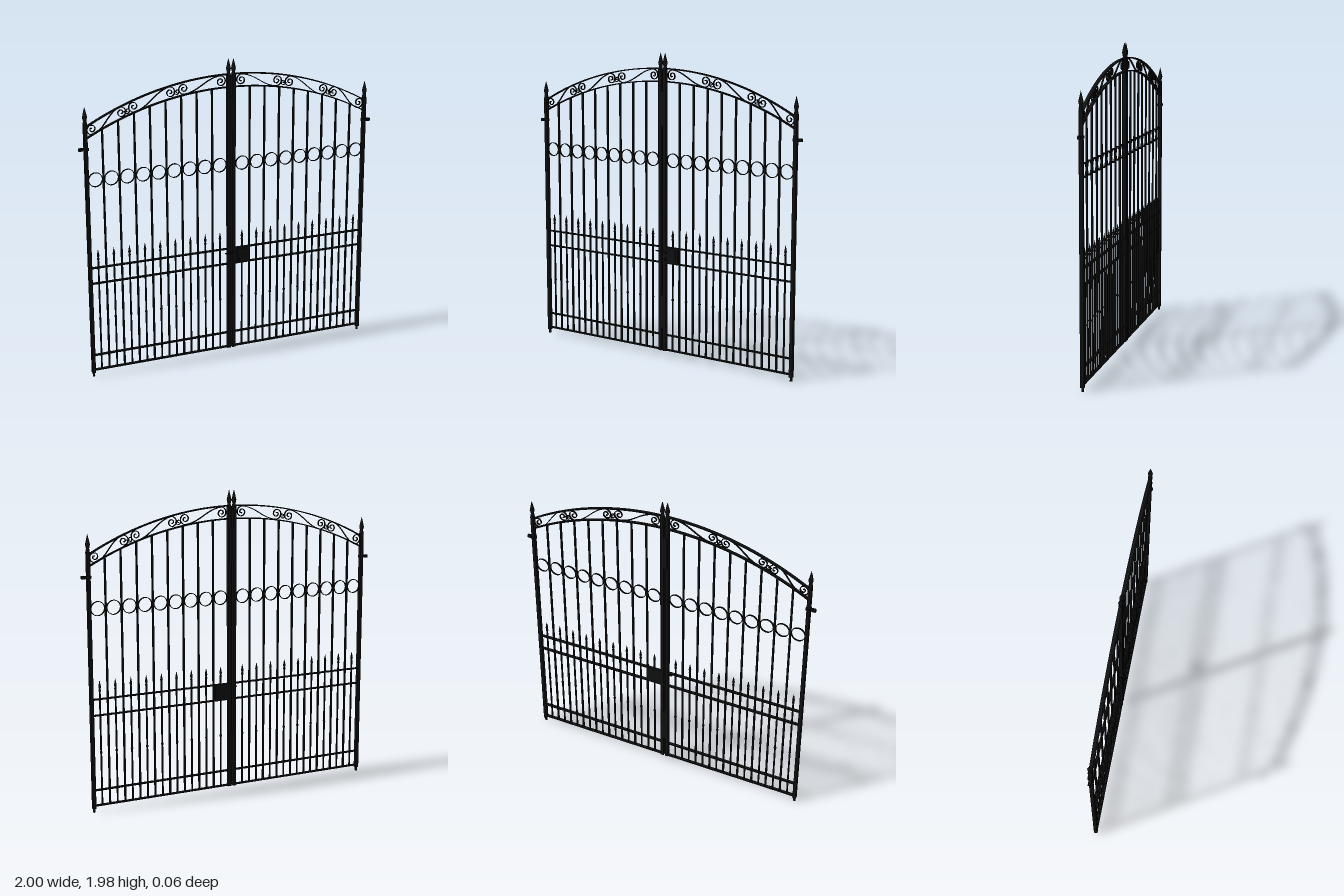
import * as THREE from 'three';

const iron = new THREE.MeshStandardMaterial({ color: 0x111111 });
iron.name = 'black iron';

const Z = -0.008; // plane of the gate leaves
const V = (x, y) => new THREE.Vector2(x, y);

function add(parent, name, geo, x = 0, y = 0, z = 0) {
  const mesh = new THREE.Mesh(geo, iron);
  mesh.name = name;
  mesh.position.set(x, y, z);
  parent.add(mesh);
  return mesh;
}

// Box given by its x and y extents
function bar(parent, name, x0, x1, y0, y1, depth, z = Z) {
  return add(parent, name, new THREE.BoxGeometry(x1 - x0, y1 - y0, depth), (x0 + x1) / 2, (y0 + y1) / 2, z);
}

// Flat strip of metal standing on edge along a path in the xy plane
function ribbon(path, thick, depth) {
  const left = [], right = [];
  path.forEach((p, i) => {
    const a = path[Math.max(i - 1, 0)], b = path[Math.min(i + 1, path.length - 1)];
    const d = b.clone().sub(a).normalize().multiplyScalar(thick / 2);
    left.push(V(p.x - d.y, p.y + d.x));
    right.push(V(p.x + d.y, p.y - d.x));
  });
  const geo = new THREE.ExtrudeGeometry(new THREE.Shape([...right, ...left.reverse()]), { depth, bevelEnabled: false });
  return geo.translate(0, 0, -depth / 2);
}

function ringGeometry(r, thick, depth) {
  const shape = new THREE.Shape().absarc(0, 0, r, 0, Math.PI * 2);
  shape.holes.push(new THREE.Path().absarc(0, 0, r - thick, 0, Math.PI * 2, true));
  return new THREE.ExtrudeGeometry(shape, { depth, bevelEnabled: false, curveSegments: 16 }).translate(0, 0, -depth / 2);
}

// Height of an arch at x
const arch = (top, radius) => x => top - radius + Math.sqrt(radius * radius - x * x);
const upperArch = arch(1.882, 1.945);
const lowerArch = arch(1.8, 2.02);
const midBand = x => (upperArch(x) + lowerArch(x)) / 2;

function archPath(f, x0, x1, n = 28) {
  return Array.from({ length: n + 1 }, (_, i) => {
    const x = x0 + (x1 - x0) * i / n;
    return V(x, f(x));
  });
}

// Spiral from its centre out to radius r, ending at angle endAngle
function spiral(cx, cy, r, endAngle, dir, turns = 1.6, n = 30) {
  return Array.from({ length: n + 1 }, (_, i) => {
    const t = i / n, a = endAngle - dir * turns * Math.PI * 2 * (1 - t);
    const rad = r * (0.15 + 0.85 * t);
    return V(cx + Math.cos(a) * rad, cy + Math.sin(a) * rad);
  });
}

// S-shaped scroll between two spiral eyes
function sScroll(xa, xb, r) {
  const a = V(xa, midBand(xa)), b = V(xb, midBand(xb));
  const tilt = Math.atan2(b.y - a.y, b.x - a.x);
  const start = spiral(a.x, a.y, r, tilt + Math.PI / 2, -1);
  const end = spiral(b.x, b.y, r, tilt - Math.PI / 2, -1).reverse();
  const p = start[start.length - 1], q = end[0], k = (xb - xa) * 0.4;
  const along = V(Math.cos(tilt) * k, Math.sin(tilt) * k);
  const link = new THREE.CubicBezierCurve(p, p.clone().add(along), q.clone().sub(along), q).getPoints(14);
  return [...start, ...link.slice(1, -1), ...end];
}

const spear = new THREE.LatheGeometry([
  V(0.005, 0), V(0.008, 0.006), V(0.008, 0.012), V(0.005, 0.018),
  V(0.009, 0.03), V(0.006, 0.046), V(0, 0.075)], 8);
const knot = new THREE.LatheGeometry([V(0.005, -0.01), V(0.0095, 0), V(0.005, 0.01)], 8);
const postFinial = new THREE.LatheGeometry([
  V(0.011, 0), V(0.013, 0.008), V(0.013, 0.018), V(0.01, 0.026),
  V(0.016, 0.05), V(0.009, 0.08), V(0, 0.115)], 8);
const ring = ringGeometry(0.046, 0.004, 0.011);

function createLeaf(name, s) {
  const leaf = new THREE.Group();
  leaf.name = name;
  const span = (label, a, b, y0, y1, depth, z) =>
    bar(leaf, label, Math.min(s * a, s * b), Math.max(s * a, s * b), y0, y1, depth, z);

  // Posts with pointed finials, bottom pivot and hinge pin
  span('outerPost', 0.944, 0.966, 0.025, 1.65, 0.024);
  add(leaf, 'outerPostFinial', postFinial, s * 0.955, 1.645, Z);
  add(leaf, 'pivot', new THREE.CylinderGeometry(0.008, 0.008, 0.03, 12), s * 0.955, 0.015, Z);
  span('innerPost', 0.006, 0.028, 0.035, 1.88, 0.024);
  add(leaf, 'innerPostFinial', postFinial, s * 0.017, 1.868, Z);
  const pin = add(leaf, 'hingePin', new THREE.CylinderGeometry(0.007, 0.007, 0.06, 12), s * 0.97, 1.497, Z);
  pin.rotation.z = Math.PI / 2;
  add(leaf, 'hingeCollar', new THREE.CylinderGeometry(0.02, 0.02, 0.014, 12), s * 0.955, 1.497, Z);
  span('hingeEnd', 0.975, 1, 1.488, 1.506, 0.018);

  // Horizontal rails
  for (const y of [0.043, 0.144, 0.628, 0.731]) span('rail', 0.02, 0.95, y - 0.0035, y + 0.0035, 0.022);

  // Tall bars up to the lower arch
  for (let i = 0; i < 8; i++) {
    const x = 0.129 + i * 0.1028;
    span('tallBar', x - 0.0055, x + 0.0055, 0.043, lowerArch(x), 0.011);
  }
  // Spear bars with knots, and a ring above each
  for (let i = 0; i < 9; i++) {
    const x = 0.0775 + i * 0.1028;
    span('spearBar', x - 0.0045, x + 0.0045, 0.043, 0.785, 0.009);
    add(leaf, 'spearHead', spear, s * x, 0.778, Z);
    add(leaf, 'knot', knot, s * x, 0.387, Z);
    add(leaf, 'ring', ring, s * x, 1.3, Z);
  }

  // Arched rails
  const x0 = s > 0 ? 0.02 : -0.95, x1 = s > 0 ? 0.95 : -0.02;
  add(leaf, 'upperArch', ribbon(archPath(upperArch, x0, x1), 0.007, 0.022), 0, 0, Z);
  add(leaf, 'lowerArch', ribbon(archPath(lowerArch, x0, x1), 0.007, 0.022), 0, 0, Z);

  // Scrollwork between the arches
  const mirror = pts => s > 0 ? pts : pts.map(p => V(-p.x, p.y));
  for (const [a, b] of [[0.07, 0.318], [0.407, 0.645], [0.725, 0.913]]) {
    add(leaf, 'scroll', ribbon(mirror(sScroll(a, b, 0.036)), 0.005, 0.01), 0, 0, Z);
  }
  for (const [x, dy] of [[0.362, -0.008], [0.685, -0.008]]) {
    add(leaf, 'smallScroll', ribbon(mirror(spiral(x, midBand(x) + dy, 0.02, 0, 1, 1.3, 20)), 0.004, 0.01), 0, 0, Z);
  }
  return leaf;
}

export function createModel() {
  const gate = new THREE.Group();
  gate.name = 'doubleGate';
  gate.add(createLeaf('leftLeaf', 1), createLeaf('rightLeaf', -1));

  // Stop plates closing the gap between the leaves
  bar(gate, 'upperStopPlate', -0.018, 0.022, 1.52, 1.74, 0.028);
  bar(gate, 'lowerStopPlate', -0.018, 0.022, 0.19, 0.41, 0.028);

  // Lock case with cover plate, bolt and lever handle
  const lock = new THREE.Group();
  lock.name = 'lock';
  bar(lock, 'lockCase', 0.012, 0.12, 0.628, 0.733, 0.024);
  bar(lock, 'lockCover', 0.035, 0.105, 0.643, 0.722, 0.006, 0.006);
  bar(lock, 'bolt', -0.045, 0.03, 0.7, 0.706, 0.008, 0.006);
  const handlePath = new THREE.CatmullRomCurve3([
    new THREE.Vector3(0.04, 0.668, 0.004), new THREE.Vector3(0.04, 0.668, 0.024),
    new THREE.Vector3(0.04, 0.66, 0.03), new THREE.Vector3(0.04, 0.652, 0.024),
    new THREE.Vector3(0.04, 0.651, 0.008)]);
  add(lock, 'handle', new THREE.TubeGeometry(handlePath, 16, 0.003, 6));
  bar(lock, 'latch', 0.036, 0.042, 0.688, 0.703, 0.012, 0.009);
  gate.add(lock);
  return gate;
}
